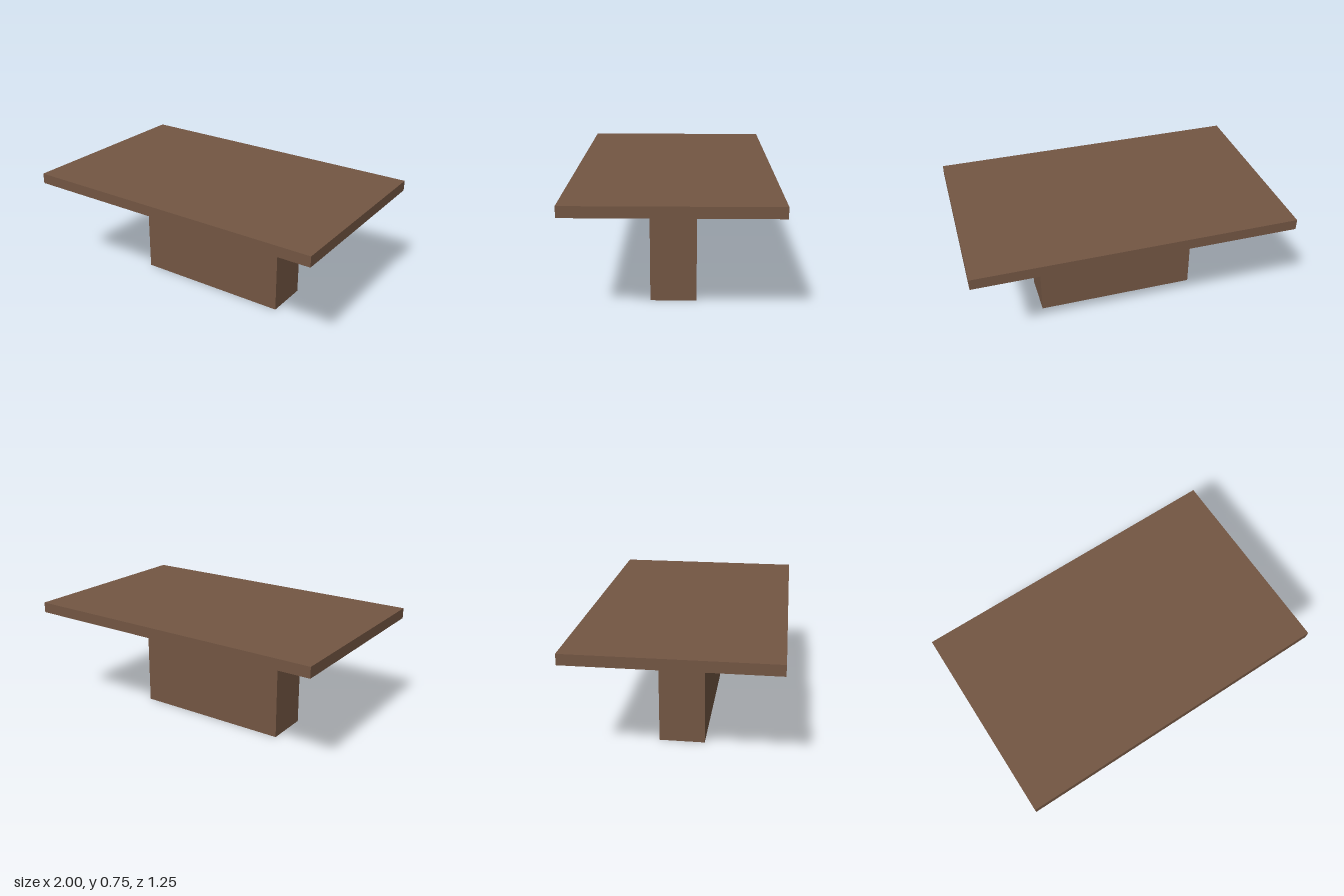
import * as THREE from 'three';

export function createModel() {
  const model = new THREE.Group();
  model.name = 'pedestalTable';

  const wood = new THREE.MeshStandardMaterial({ color: 0x735643, side: THREE.DoubleSide });
  wood.name = 'brown wood';

  const height = 0.752, legHeight = 0.685;
  const halfX = 0.52, halfZ = 0.143;

  // Flat rectangular table top
  const thickness = height - legHeight;
  const top = new THREE.Mesh(new THREE.BoxGeometry(2, thickness, 1.245), wood);
  top.name = 'tableTop';
  top.position.y = legHeight + thickness / 2;
  model.add(top);

  // Hollow pedestal: four thin walls, open at the bottom
  const pedestal = new THREE.Group();
  pedestal.name = 'pedestal';
  ['frontWall', 'leftWall', 'backWall', 'rightWall'].forEach((name, i) => {
    const isSide = i % 2 === 1;
    const width = 2 * (isSide ? halfZ : halfX);
    const offset = isSide ? halfX : halfZ;
    const angle = i * Math.PI / 2;
    const wall = new THREE.Mesh(new THREE.PlaneGeometry(width, legHeight), wood);
    wall.name = name;
    wall.rotation.y = angle;
    wall.position.set(Math.sin(angle) * offset, legHeight / 2, Math.cos(angle) * offset);
    pedestal.add(wall);
  });
  model.add(pedestal);

  return model;
}
